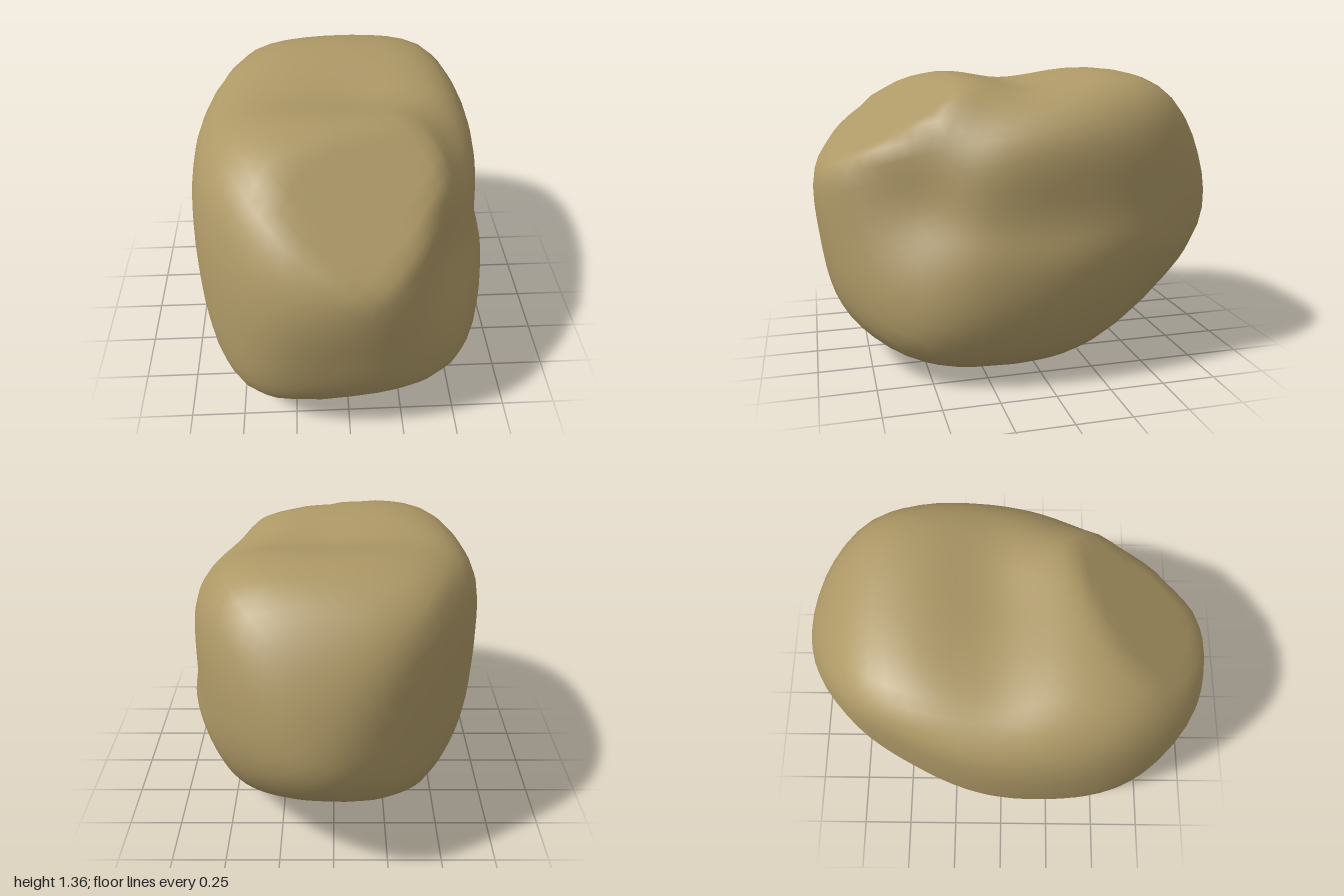
import * as THREE from 'three';
import { mergeVertices } from 'three/addons/utils/BufferGeometryUtils.js';

const CENTRE = new THREE.Vector3(0, 0.69, 0);

// Smooth closed outline of the boulder from one bearing and height (degrees);
// points are across and up, with the centre at the given level
function outline(bearing, height, level, points) {
  const a = THREE.MathUtils.degToRad(bearing), e = THREE.MathUtils.degToRad(height);
  const curve = new THREE.CatmullRomCurve3(points.map(([u, v]) => new THREE.Vector3(u, v - level, 0)), true);
  return {
    across: new THREE.Vector3(Math.cos(a), 0, -Math.sin(a)),
    up: new THREE.Vector3(-Math.sin(a) * Math.sin(e), Math.cos(e), -Math.cos(a) * Math.sin(e)),
    loop: curve.getPoints(points.length * 5),
  };
}

const frontOutline = outline(0, 0, CENTRE.y, [[-0.36, 0.01], [0.5, 0.03], [0.7, 0.3], [0.72, 0.54], [0.645, 0.75],
  [0.62, 1.15], [0.43, 1.36], [-0.45, 1.36], [-0.705, 1.15], [-0.61, 0.13]]);
const sideOutline = outline(90, 0, CENTRE.y, [[-0.39, 0], [-0.83, 0.14], [-0.97, 0.57], [-1, 0.9], [-0.75, 1.22],
  [-0.35, 1.355], [0.02, 1.305], [0.45, 1.38], [0.66, 1.31], [0.95, 0.83], [1, 0.6], [0.21, 0.055]]);
const planOutline = outline(0, 90, 0, [[0.12, 1], [0.45, 0.83], [0.64, 0.4], [0.72, 0], [0.59, -0.61], [0.1, -0.98],
  [-0.35, -0.96], [-0.6, -0.75], [-0.72, -0.08], [-0.53, 0.48], [-0.37, 0.73]]);
const frontCornerOutline = outline(36, 27, 0, [[-0.91, -0.28], [-0.82, -0.69], [0.1, -0.89], [0.44, -0.72],
  [0.76, -0.16], [0.88, 0.05], [0.71, 0.72], [0.09, 0.9], [-0.47, 0.69], [-0.79, 0.36]]);
const backCornerOutline = outline(216, 27, 0, [[-0.85, -0.1], [-0.71, 0.55], [-0.26, 0.68], [0, 0.82], [0.5, 0.75],
  [0.81, 0.51], [0.95, -0.06], [0.82, -0.48], [0.14, -0.72], [-0.59, -0.55]]);
const undersideOutline = outline(140, -27, 0, [[-0.85, -0.53], [-0.76, 0], [-0.55, 0.51], [0.05, 0.94], [0.71, 0.69],
  [0.78, 0.14], [0.54, -0.54], [-0.18, -0.94], [-0.65, -0.72]]);
const OUTLINES = [frontOutline, sideOutline, planOutline, frontCornerOutline, backCornerOutline, undersideOutline];

// Inverse distance from the centre to an outline, along a direction
function inverseReach({ across, up, loop }, direction) {
  const u = direction.dot(across), v = direction.dot(up);
  let inverse = 0;
  for (let i = 0; i < loop.length - 1; i++) {
    const a = loop[i], b = loop[i + 1];
    const ex = b.x - a.x, ey = b.y - a.y;
    const det = u * ey - v * ex;
    if (Math.abs(det) < 1e-9) continue;
    const t = (a.x * ey - a.y * ex) / det;
    const s = (a.x * v - a.y * u) / det;
    if (t > 0 && s >= -1e-6 && s <= 1 + 1e-6) inverse = 1 / t;
  }
  return inverse;
}

// Soft hollows: position, radius, depth
const HOLLOWS = [
  [new THREE.Vector3(0.5, 0.8, 0.6), 0.27, 0.07],
  [new THREE.Vector3(0.1, 1.32, 0), 0.25, 0.02],
];

// Sloping shelf on the upper front
const SHELF = new THREE.Vector3(0.2, 0.81, 0.55).normalize();
const SHELF_DISTANCE = SHELF.dot(new THREE.Vector3(0.1, 0.91, 0.98).sub(CENTRE));

function boulderGeometry() {
  let geometry = new THREE.IcosahedronGeometry(1, 13);
  geometry.deleteAttribute('normal');
  geometry.deleteAttribute('uv');
  geometry = mergeVertices(geometry, 1e-4);
  const pos = geometry.attributes.position;
  const direction = new THREE.Vector3(), p = new THREE.Vector3();
  const power = 14;

  for (let i = 0; i < pos.count; i++) {
    direction.fromBufferAttribute(pos, i).normalize();
    // Rounded body that fills every outline
    const sum = OUTLINES.reduce((total, o) => total + inverseReach(o, direction) ** power, 0);
    let r = 1.02 * sum ** (-1 / power);
    p.copy(CENTRE).addScaledVector(direction, r);
    for (const [at, radius, depth] of HOLLOWS) r -= depth * Math.exp(-p.distanceToSquared(at) / (radius * radius));
    const slope = SHELF.dot(direction);
    if (slope > 0) r = Math.min(r, SHELF_DISTANCE / slope);
    p.copy(CENTRE).addScaledVector(direction, r);
    pos.setXYZ(i, p.x, p.y, p.z);
  }
  geometry.computeVertexNormals();
  return geometry;
}

export function createModel() {
  const group = new THREE.Group();
  group.name = 'rock';
  const stone = new THREE.MeshStandardMaterial({ color: 0xad9866 });
  stone.name = 'sandy stone';
  const boulder = new THREE.Mesh(boulderGeometry(), stone);
  boulder.name = 'boulder';
  group.add(boulder);
  return group;
}
